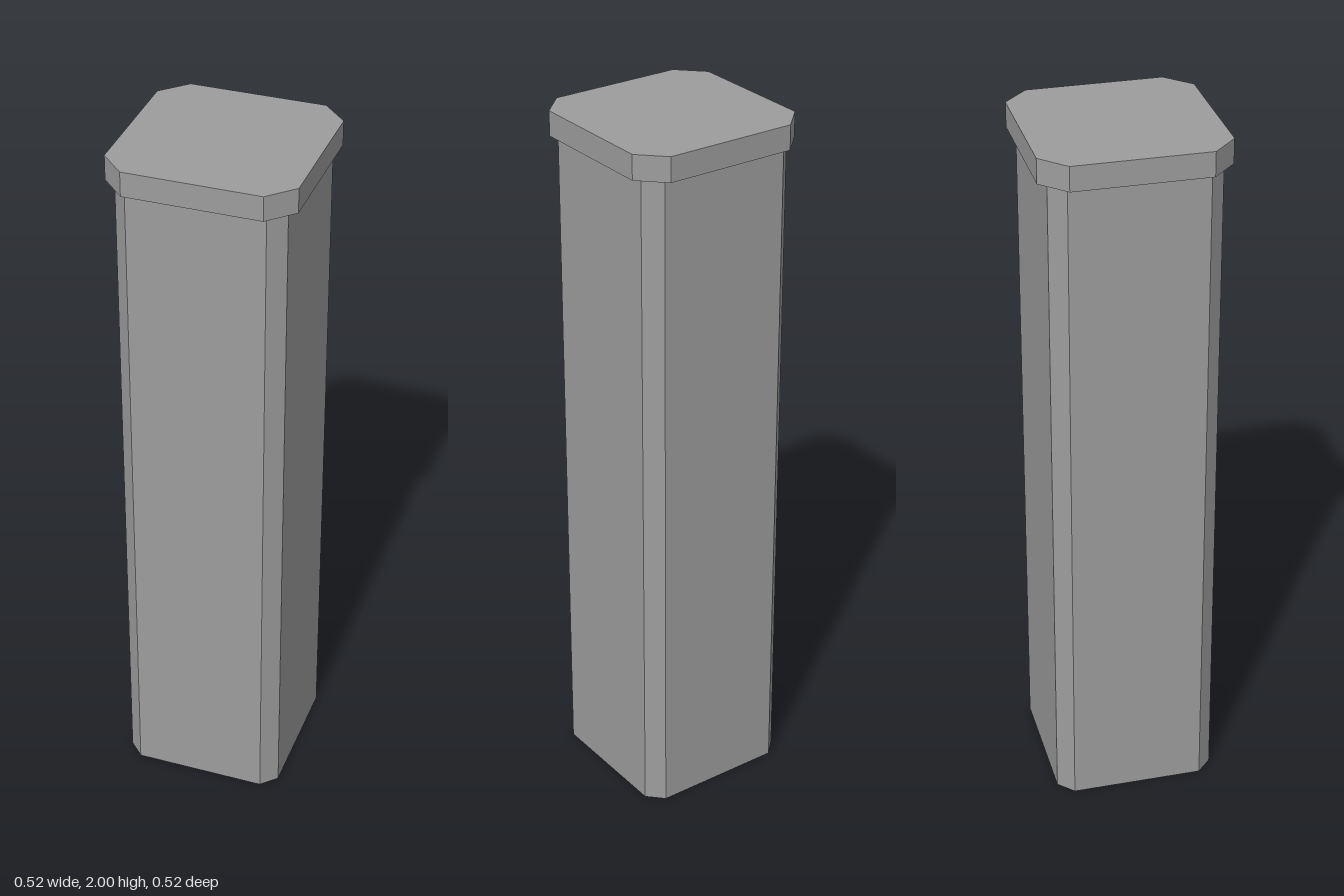
import * as THREE from 'three';

// Upright prism with a square, corner-chamfered section
function chamferedPrism(name, half, flat, bottom, top, material) {
  const corners = [];
  for (let i = 0; i < 4; i++) {
    const centre = new THREE.Vector2();
    const turn = (i * Math.PI) / 2;
    corners.push(
      new THREE.Vector2(half, -flat).rotateAround(centre, turn),
      new THREE.Vector2(half, flat).rotateAround(centre, turn)
    );
  }
  const geometry = new THREE.ExtrudeGeometry(new THREE.Shape(corners), {
    depth: top - bottom,
    bevelEnabled: false,
  });
  geometry.rotateX(-Math.PI / 2).translate(0, bottom, 0);
  const mesh = new THREE.Mesh(geometry, material);
  mesh.name = name;
  return mesh;
}

export function createModel() {
  const group = new THREE.Group();
  group.name = 'post';
  const material = new THREE.MeshStandardMaterial({ color: 0x9d9d9d, flatShading: true });

  // Tall shaft, with a wider cap overhanging it on all sides
  const capBottom = 1.93;
  group.add(chamferedPrism('shaft', 0.232, 0.189, 0, capBottom, material));
  group.add(chamferedPrism('cap', 0.258, 0.189, capBottom, 2, material));
  return group;
}
